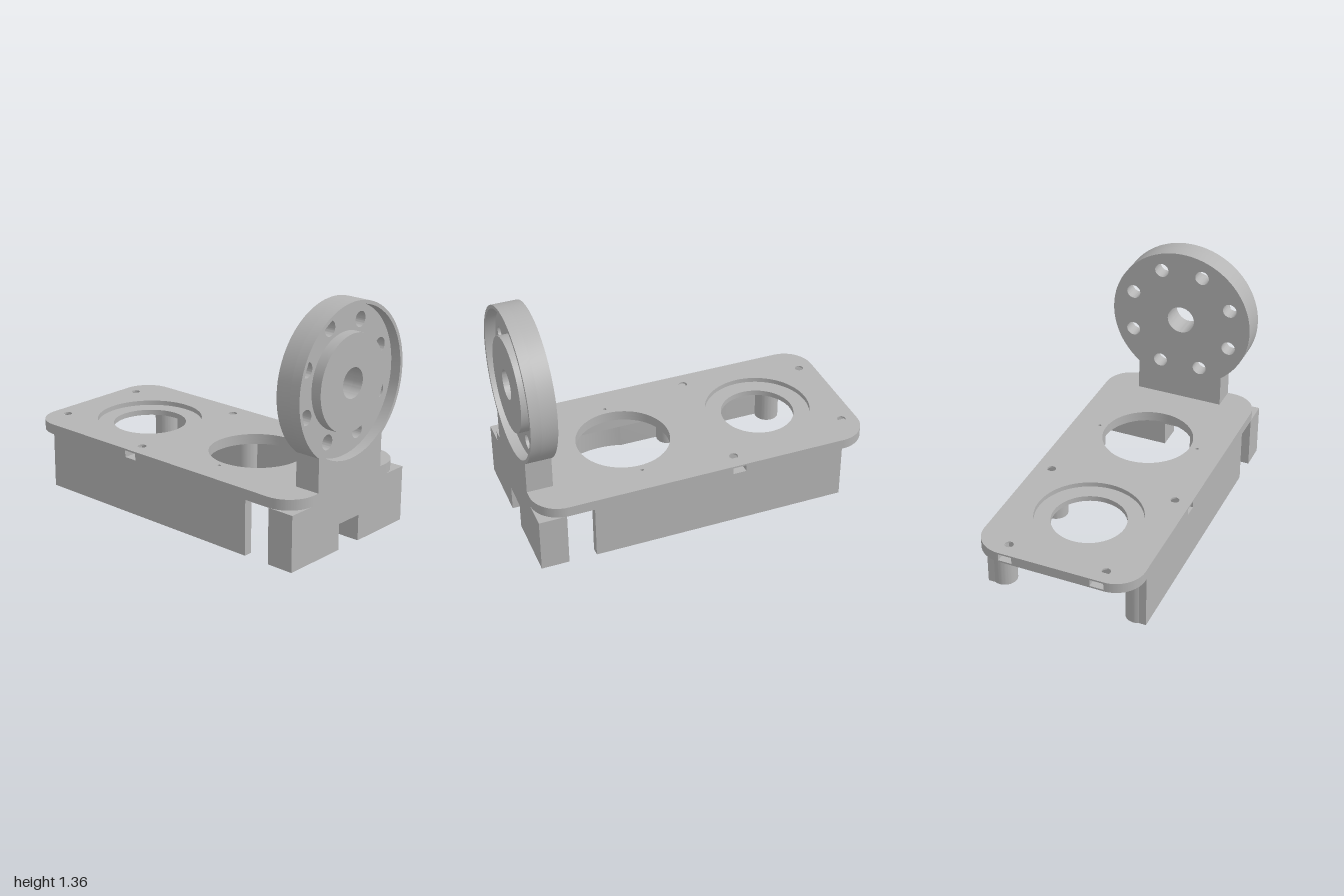
import * as THREE from 'three';
import { toCreasedNormals } from 'three/addons/utils/BufferGeometryUtils.js';

export function createModel() {
  const model = new THREE.Group();
  const grey = new THREE.MeshStandardMaterial({ color: 0xb4b4b4 });
  grey.name = 'grey';

  const extrude = (shape, depth) => new THREE.ExtrudeGeometry(shape, { depth, bevelEnabled: false, curveSegments: 32 });
  const add = (name, geometry, parent = model) => {
    const mesh = new THREE.Mesh(toCreasedNormals(geometry, 0.5), grey);
    mesh.name = name;
    parent.add(mesh);
    return mesh;
  };
  // Slab from a plan shape (x, -z) between two heights
  const slab = (name, shape, y0, y1, parent) =>
    add(name, extrude(shape, y1 - y0).rotateX(-Math.PI / 2).translate(0, y0, 0), parent);
  // Slab from a side shape (-z, y) between two x positions
  const sideSlab = (name, shape, x0, x1, parent) =>
    add(name, extrude(shape, x1 - x0).rotateY(Math.PI / 2).translate(x0, 0, 0), parent);
  const polygon = (pts) => new THREE.Shape(pts.map(([x, y]) => new THREE.Vector2(x, y)));
  const hole = (shape, x, y, r) => shape.holes.push(new THREE.Path().absarc(x, y, r, 0, Math.PI * 2, true));
  const ring = (x, y, r, inner) => {
    const s = new THREE.Shape().absarc(x, y, r, 0, Math.PI * 2, false);
    hole(s, x, y, inner);
    return s;
  };

  // Rounded top plate, in layers: nut slots in the middle, a counterbore at the top
  const plateShape = (boreRadius, slots) => {
    const X = 1, Z = 0.48, r = 0.17, w = 0.04;
    const s = new THREE.Shape();
    const cut = (pts) => slots && pts.forEach(([x, y]) => s.lineTo(x, y));
    s.moveTo(-X + r, -Z);
    cut([[-0.18 - w, -Z], [-0.18 - w, -0.345], [-0.18 + w, -0.345], [-0.18 + w, -Z]]);
    s.lineTo(X - r, -Z);
    s.absarc(X - r, -Z + r, r, -Math.PI / 2, 0, false);
    s.lineTo(X, Z - r);
    s.absarc(X - r, Z - r, r, 0, Math.PI / 2, false);
    cut([[-0.18 + w, Z], [-0.18 + w, 0.345], [-0.18 - w, 0.345], [-0.18 - w, Z]]);
    s.lineTo(-X + r, Z);
    s.absarc(-X + r, Z - r, r, Math.PI / 2, Math.PI, false);
    for (const z of [0.27, -0.27]) {
      cut([[-X, z + w], [-0.87, z + w], [-0.87, z - w], [-X, z - w]]);
    }
    s.lineTo(-X, -Z + r);
    s.absarc(-X + r, -Z + r, r, Math.PI, Math.PI * 1.5, false);
    hole(s, -0.5, 0, boreRadius);
    hole(s, 0.345, 0, 0.272);
    for (const side of [1, -1]) {
      hole(s, 0.345, side * 0.315, 0.01);
      if (!slots) {
        hole(s, -0.91, side * 0.287, 0.025);
        hole(s, -0.18, side * 0.385, 0.025);
      }
    }
    return s;
  };
  const plate = new THREE.Group();
  plate.name = 'topPlate';
  model.add(plate);
  slab('plateUnderside', plateShape(0.215, false), 0.32, 0.33, plate);
  slab('plateSlotsLower', plateShape(0.215, true), 0.33, 0.352, plate);
  slab('plateSlotsUpper', plateShape(0.31, true), 0.352, 0.37, plate);
  slab('plateTop', plateShape(0.31, false), 0.37, 0.38, plate);

  for (const s of [1, -1]) {
    // Side wall with a shallow curved recess low on its inner face
    const a = Math.asin(0.43 / 0.452);
    const recessed = new THREE.Shape();
    recessed.moveTo(-0.82, s * 0.48);
    recessed.lineTo(-0.82, s * 0.43);
    recessed.absarc(0.345, 0, 0.452, s * (Math.PI - a), s * a, s > 0);
    recessed.lineTo(0.68, s * 0.43);
    recessed.lineTo(0.68, s * 0.48);
    slab('sideWallLower', recessed, 0, 0.14);
    slab('sideWallUpper', polygon([[-0.82, s * 0.43], [0.68, s * 0.43], [0.68, s * 0.48], [-0.82, s * 0.48]]), 0.14, 0.32);

    // Screw posts
    for (const x of [-0.755, -0.09]) slab('screwPost', ring(x, s * 0.408, 0.072, 0.028), 0, 0.32);

    // Feet of the end block, each with a screw hole
    const foot = polygon([[0.84, s * 0.085], [1, s * 0.085], [1, s * 0.48], [0.84, s * 0.48]]);
    hole(foot, 0.92, s * 0.32, 0.028);
    slab('endBlockFoot', foot, 0, 0.15);
  }
  slab('endBlock', polygon([[0.84, -0.48], [1, -0.48], [1, 0.48], [0.84, 0.48]]), 0.15, 0.32);

  // Upright round flange on a neck
  const cy = 0.92, R = 0.44, neck = 0.27;
  const flangeShape = () => {
    const s = new THREE.Shape();
    const a = Math.acos(neck / R);
    s.moveTo(-neck, 0.32);
    s.lineTo(neck, 0.32);
    s.absarc(0, cy, R, -a, Math.PI + a, false);
    return s;
  };
  const flange = new THREE.Group();
  flange.name = 'flange';
  model.add(flange);
  const web = flangeShape();
  hole(web, 0, cy, 0.085);
  for (let i = 0; i < 8; i++) {
    const t = (i + 0.5) * Math.PI / 4;
    hole(web, 0.335 * Math.cos(t), cy + 0.335 * Math.sin(t), 0.043);
  }
  sideSlab('flangeWeb', web, 0.85, 0.94, flange);
  const rim = flangeShape();
  hole(rim, 0, cy, 0.42);
  sideSlab('flangeRim', rim, 0.94, 1, flange);
  sideSlab('flangeHub', ring(0, cy, 0.27, 0.085), 0.94, 1, flange);

  return model;
}
